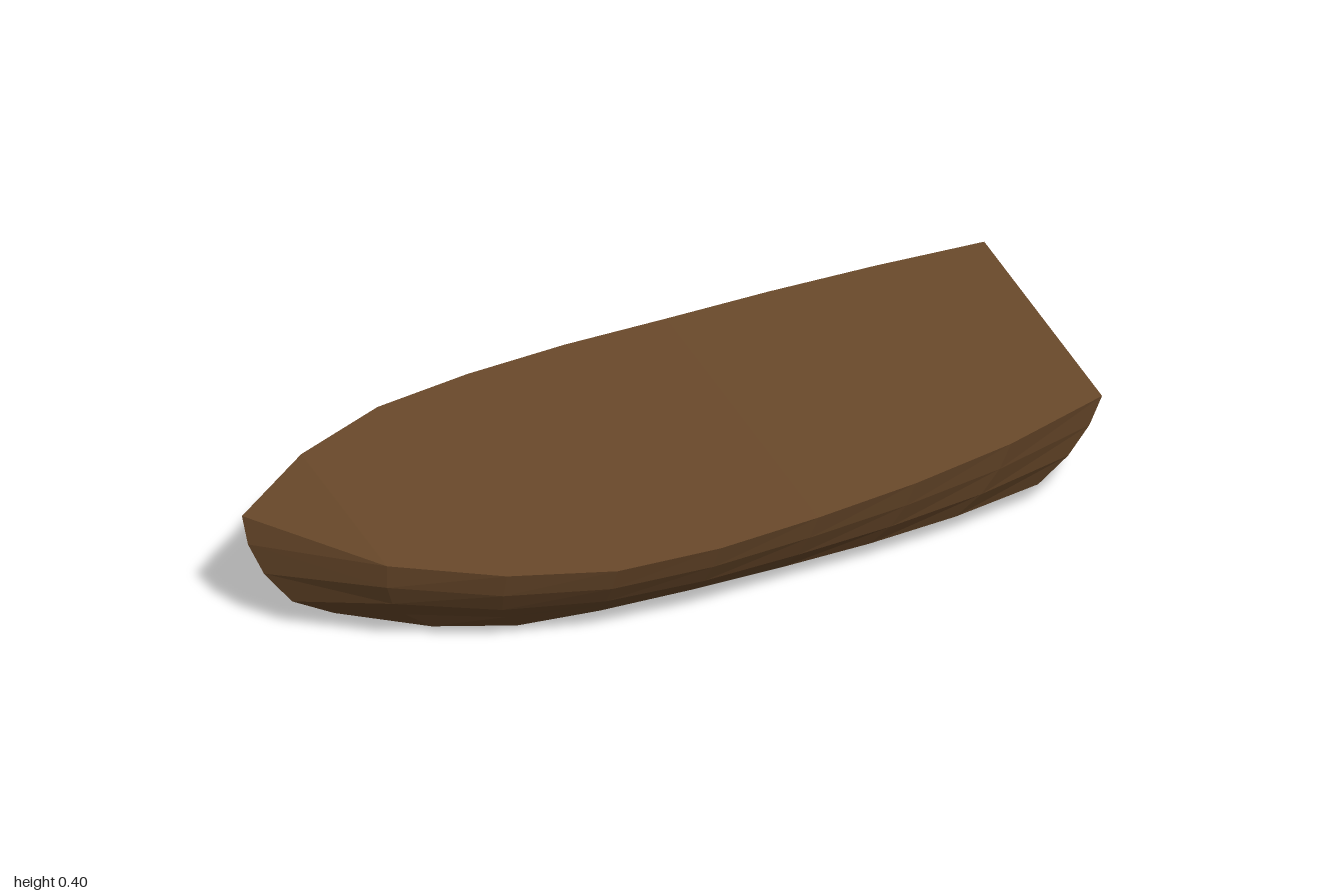
import * as THREE from 'three';

// Nine stations from bow (-x) to stern (+x)
const deckX = [-1, -0.745, -0.5, -0.25, 0, 0.25, 0.5, 0.75, 1];
const deckY = [0.395, 0.333, 0.31, 0.287, 0.284, 0.288, 0.298, 0.313, 0.338];
const deckHalf = [0, 0.235, 0.355, 0.413, 0.427, 0.417, 0.402, 0.373, 0.323];
const keelY = [0.05, 0.02, 0, 0, 0, 0, 0, 0, 0];

// Five levels from keel to deck: stem curve, transom rake and fullness at each end
const stemX = [-0.77, -0.875, -0.945, -0.985, -1];
const stemY = [0.05, 0.115, 0.215, 0.31, 0.395];
const sternX = [0.78, 0.87, 0.93, 0.975, 1];
const bowFull = [0.43, 0.52, 0.74, 0.905, 1];
const sternFull = [0.45, 0.8, 0.9, 0.955, 1];
const LEVELS = 5;
const LAST = deckX.length - 1;
const { lerp } = THREE.MathUtils;

// A point of the hull skin; side is +1 (z > 0) or -1
function hullPoint(station, level, side) {
  const s = (deckX[station] + 1) / 2;
  const x = lerp(stemX[level], sternX[level], s);
  const y = station === 0 ? stemY[level] : lerp(keelY[station], deckY[station], level / (LEVELS - 1));
  const z = side * deckHalf[station] * lerp(bowFull[level], sternFull[level], s);
  return new THREE.Vector3(x, y, z);
}

// Closed cross-section: up the +z side, down the -z side
function ring(station) {
  const pts = [];
  for (let l = 0; l < LEVELS; l++) pts.push(hullPoint(station, l, 1));
  for (let l = LEVELS - 1; l >= 0; l--) pts.push(hullPoint(station, l, -1));
  return pts;
}

// Builds a mesh from quads, leaving out triangles collapsed at the stem
function quadMesh(name, quads, material) {
  const pos = [];
  for (const [a, b, c, d] of quads) {
    for (const tri of [[a, b, c], [a, c, d]]) {
      if (new THREE.Triangle(...tri).getArea() > 1e-7) tri.forEach((p) => pos.push(p.x, p.y, p.z));
    }
  }
  const geometry = new THREE.BufferGeometry();
  geometry.setAttribute('position', new THREE.Float32BufferAttribute(pos, 3));
  geometry.computeVertexNormals();
  const mesh = new THREE.Mesh(geometry, material);
  mesh.name = name;
  return mesh;
}

export function createModel() {
  const group = new THREE.Group();
  group.name = 'boatHull';
  const wood = new THREE.MeshStandardMaterial({ color: 0x6b4a2b, flatShading: true });

  const rings = deckX.map((_, i) => ring(i));
  const count = LEVELS * 2;
  const sides = [], deck = [], bottom = [], transom = [];

  // Skin between neighbouring stations
  for (let i = 0; i < LAST; i++) {
    for (let j = 0; j < count; j++) {
      const k = (j + 1) % count;
      const quad = [rings[i][j], rings[i + 1][j], rings[i + 1][k], rings[i][k]];
      if (j === LEVELS - 1) deck.push(quad);
      else if (j === count - 1) bottom.push(quad);
      else sides.push(quad);
    }
  }

  // Raked stern panel
  const end = rings[LAST];
  for (let l = 0; l < LEVELS - 1; l++) {
    transom.push([end[l], end[count - 1 - l], end[count - 2 - l], end[l + 1]]);
  }

  group.add(
    quadMesh('hullSides', sides, wood),
    quadMesh('deck', deck, wood),
    quadMesh('hullBottom', bottom, wood),
    quadMesh('transom', transom, wood),
  );
  return group;
}
